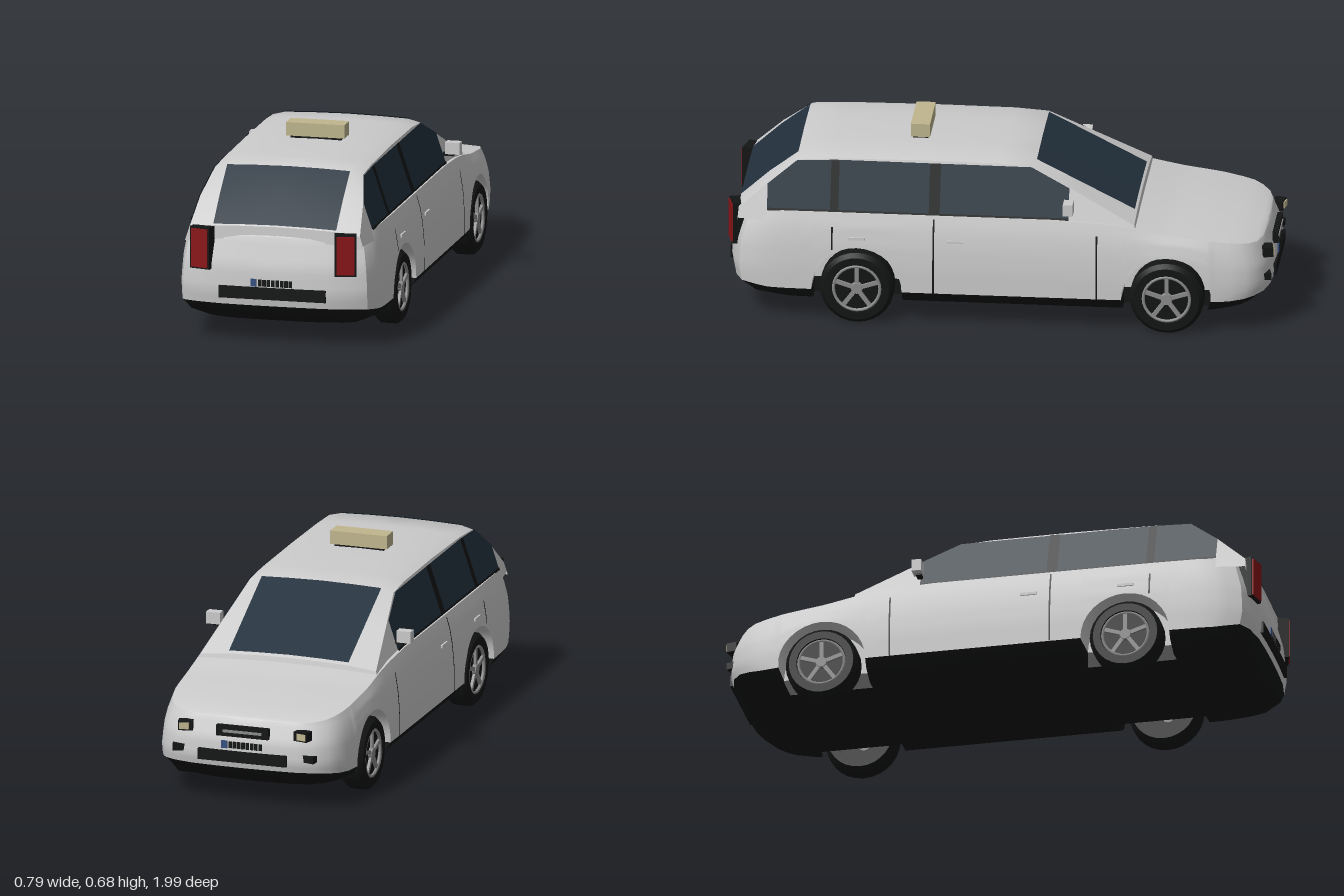
import * as THREE from 'three';
import { mergeGeometries, mergeVertices, toCreasedNormals } from 'three/addons/utils/BufferGeometryUtils.js';

const material = (color) => new THREE.MeshStandardMaterial({ color, side: THREE.DoubleSide });
const paint = material(0xcccccc), black = material(0x131414), glass = material(0x22303c);
const red = material(0x8a1519), cream = material(0xc0b78f), metal = material(0x8c8c8c), blue = material(0x35507f);

// Linear lookup in a list of [key, value] pairs
function lookup(table, k) {
  if (k <= table[0][0]) return table[0][1];
  for (let i = 1; i < table.length; i++) {
    const [a, va] = table[i - 1], [b, vb] = table[i];
    if (k <= b) return va + (vb - va) * (k - a) / (b - a);
  }
  return table[table.length - 1][1];
}

// Surface through columns of points on the +x side, mirrored to -x
function mirroredSurface(columns) {
  const half = (s) => {
    const n = columns[0].length, pos = [], index = [];
    columns.forEach((c) => c.forEach(([x, y, z]) => pos.push(s * x, y, z)));
    for (let i = 0; i < columns.length - 1; i++) {
      for (let j = 0; j < n - 1; j++) {
        const a = i * n + j, b = a + n;
        if (s > 0) index.push(a, a + 1, b, b, a + 1, b + 1);
        else index.push(a, b, a + 1, b, b + 1, a + 1);
      }
    }
    const g = new THREE.BufferGeometry();
    g.setAttribute('position', new THREE.Float32BufferAttribute(pos, 3));
    g.setIndex(index);
    return g;
  };
  return toCreasedNormals(mergeVertices(mergeGeometries([half(1), half(-1)]), 1e-5), 0.6);
}

// Lower body rules
const ARCH_R = 0.165, ARCH_Y = 0.13, AXLES = [-0.61, 0.52], WELL_X = 0.25;
const topY = [[-1, 0.32], [-0.9, 0.34], [-0.6, 0.375], [-0.47, 0.4], [-0.3, 0.42], [0.88, 0.42], [1, 0.395]];
const sideScale = [[0.07, 0.8], [0.1, 0.95], [0.13, 1], [0.22, 1], [0.3, 0.985], [0.37, 0.955], [0.42, 0.915]];
const endInset = [[0.07, 0.11], [0.1, 0.06], [0.14, 0.01], [0.2, 0], [0.3, 0.005], [0.42, 0.035]];
const planX = [[-0.85, 0.355], [-0.77, 0.368], [-0.6, 0.377], [-0.4, 0.38], [0.6, 0.38], [0.8, 0.375]];
const bodyPoint = (px, pz, y, key = y) => [
  px * lookup(sideScale, key), y,
  pz - Math.sign(pz) * lookup(endInset, key) * THREE.MathUtils.smoothstep(Math.abs(pz), 0.7, 0.95),
];

// Plan outline from nose to tail, with extra columns over the wheel arches
function planColumns() {
  const cols = [[0, -0.99], [0.1, -0.988], [0.2, -0.982], [0.27, -0.965], [0.315, -0.935], [0.34, -0.9]]
    .map(([x, z]) => ({ x, z }));
  const add = (z, arch) => cols.push({ x: lookup(planX, z), z, arch });
  add(-0.85); add(-0.8);
  AXLES.forEach((c, k) => {
    add(c - ARCH_R);
    for (let i = 0; i <= 16; i++) add(c - ARCH_R * Math.cos(i * Math.PI / 16), c);
    add(c + ARCH_R);
    (k ? [0.74, 0.8] : [-0.36, -0.2, 0, 0.2]).forEach((z) => add(z));
  });
  [[0.37, 0.86], [0.362, 0.9], [0.345, 0.95], [0.29, 0.975], [0.2, 0.99], [0.1, 0.994], [0, 0.995]]
    .forEach(([x, z]) => cols.push({ x, z }));
  cols.forEach((c) => {
    c.base = c.arch === undefined ? ARCH_Y + 0.015 * THREE.MathUtils.smoothstep(Math.abs(c.z), 0.85, 0.98)
      : ARCH_Y + Math.sqrt(Math.max(0, ARCH_R ** 2 - (c.z - c.arch) ** 2));
  });
  return cols;
}

// Cabin rules
const roofY = [[-0.5, 0.38], [-0.49, 0.42], [-0.12, 0.608], [0, 0.617], [0.3, 0.619], [0.6, 0.615],
  [0.74, 0.607], [0.85, 0.523], [0.955, 0.428], [0.958, 0.38]];
const wallX = (y) => 0.275 + (0.6 - y) / 3;
function cabinColumn(z) {
  const r = lookup(roofY, z), k = z > 0.9 ? 0.95 : 1;
  return [[k * wallX(0.38), 0.38, z], [k * wallX(r - 0.012), r - 0.012, z], [0.23, r, z],
    [0.12, r + 0.004, z], [0, r + 0.006, z]];
}

export function createModel() {
  const car = new THREE.Group();
  car.name = 'car';
  const add = (name, geo, mat, x = 0, y = 0, z = 0, parent = car) => {
    const m = new THREE.Mesh(geo, mat);
    m.name = name;
    m.position.set(x, y, z);
    parent.add(m);
    return m;
  };
  const box = (name, w, h, d, mat, x, y, z, parent) => add(name, new THREE.BoxGeometry(w, h, d), mat, x, y, z, parent);

  // Body shell: sides, nose, tail, then the hood and deck closing the top
  const cols = planColumns();
  const side = cols.map(({ x, z, base }) => Array.from({ length: 11 }, (_, i) => {
    const t = i / 10;
    return bodyPoint(x, z, THREE.MathUtils.lerp(base, lookup(topY, z), t), THREE.MathUtils.lerp(base, 0.42, t));
  }));
  add('bodyShell', mirroredSurface(side.map((c) => {
    const [ex, ey, ez] = c[10];
    const deck = [0.85, 0.65, 0.4, 0.2, 0].map((f) => [ex * f, ey + 0.012 * (1 - f * f) * ex / 0.35, ez]);
    return [...c, ...deck];
  })), paint);

  // Black sills, bumper undersides and floor
  add('underbody', mirroredSurface(cols.map(({ x, z, base, arch }) => {
    const p = [0.07, 0.1, base].map((y) => (arch === undefined ? bodyPoint(x, z, y) : [WELL_X, Math.min(y, 0.13), z]));
    return [[0, 0.07, p[0][2]], ...p];
  })), black);

  // Wheel wells
  AXLES.forEach((c) => add('wheelWell', mirroredSurface(cols.filter((k) => k.arch === c).map(({ x, z, base }) => [
    [WELL_X, 0.13, z], [WELL_X, base, z], bodyPoint(x, z, base)])), paint));

  // Cabin
  add('cabin', mirroredSurface([-0.5, -0.49, -0.3, -0.12, 0, 0.3, 0.6, 0.74, 0.85, 0.955, 0.958].map(cabinColumn)), paint);
  const pane = (name, zs) => add(name, mirroredSurface(zs.map((z) =>
    cabinColumn(z).slice(2).map(([x, y]) => [x, y + 0.005, z]))), glass);
  pane('windshield', [-0.482, -0.3, -0.125]);
  pane('rearWindow', [0.745, 0.85, 0.954]);

  // Side glass, pillars and belt trim lie on the sloping cabin wall
  const onWall = (name, pts, mat, lift) => [1, -1].forEach((s) => {
    const g = new THREE.ShapeGeometry(new THREE.Shape(pts.map(([z, y]) => new THREE.Vector2(z, y))));
    const p = g.attributes.position;
    for (let i = 0; i < p.count; i++) {
      const z = p.getX(i), y = p.getY(i);
      p.setXYZ(i, s * (wallX(y) + lift), y, z);
    }
    g.computeVertexNormals();
    add(name, g, mat);
  });
  const rect = (a, b, c, d) => [[a, c], [b, c], [b, d], [a, d]];
  onWall('sideWindow', [[0.85, 0.42], [0.85, 0.51], [0.745, 0.594], [0.6, 0.6], [-0.11, 0.598], [-0.25, 0.53], [-0.25, 0.42]], glass, 0.004);
  onWall('rearPillar', rect(0.59, 0.62, 0.42, 0.598), black, 0.006);
  onWall('centrePillar', rect(0.22, 0.26, 0.42, 0.6), black, 0.006);
  onWall('beltTrim', rect(-0.25, 0.85, 0.418, 0.427), black, 0.007);

  // Door seams and handles
  [[0.61, 0.285, 0.37], [0.24, 0.13, 0.41], [-0.355, 0.13, 0.37]].forEach(([z, y0, y1]) => {
    add('doorSeam', mirroredSurface([-0.003, 0.003].map((d) => Array.from({ length: 7 }, (_, i) => {
      const y = y0 + (y1 - y0) * i / 6;
      return [0.38 * lookup(sideScale, y) + 0.002, y, z + d];
    }))), black);
  });

  // Wheels
  const tyre = new THREE.LatheGeometry([[0.09, -0.045], [0.12, -0.045], [0.135, -0.028], [0.135, 0.028],
    [0.12, 0.045], [0.092, 0.045], [0.088, 0.03], [0, 0.03]].map(([r, h]) => new THREE.Vector2(r, h)), 28);
  const tyreGeo = toCreasedNormals(tyre, 0.5).rotateZ(-Math.PI / 2);
  const ringGeo = new THREE.TorusGeometry(0.085, 0.006, 6, 28).rotateY(Math.PI / 2);
  const hubGeo = new THREE.CylinderGeometry(0.02, 0.024, 0.016, 12).rotateZ(-Math.PI / 2);
  const spokeGeo = new THREE.BoxGeometry(0.01, 0.075, 0.015).translate(0, 0.047, 0);
  AXLES.forEach((z) => [1, -1].forEach((s) => {
    const wheel = new THREE.Group();
    wheel.name = z < 0 ? 'frontWheel' : 'rearWheel';
    wheel.position.set(s * 0.329, 0.135, z);
    if (s < 0) wheel.rotation.y = Math.PI;
    add('tyre', tyreGeo, black, 0, 0, 0, wheel);
    add('rimRing', ringGeo, metal, 0.038, 0, 0, wheel);
    add('hub', hubGeo, metal, 0.036, 0, 0, wheel);
    for (let i = 0; i < 5; i++) add('spoke', spokeGeo, metal, 0.036, 0, 0, wheel).rotation.x = i * Math.PI * 2 / 5;
    car.add(wheel);
  }));

  // Paired details
  [1, -1].forEach((s) => {
    [0.52, 0.16].forEach((z) => box('doorHandle', 0.008, 0.01, 0.06, paint, s * 0.371, 0.33, z));
    box('mirror', 0.054, 0.044, 0.036, paint, s * 0.367, 0.478, -0.252);
    box('mirrorStem', 0.04, 0.012, 0.02, black, s * 0.35, 0.454, -0.25);
    const tail = new THREE.Group();
    tail.name = 'tailLight';
    tail.position.set(s * 0.265, 0.348, 0.952);
    tail.rotation.y = s * 0.25;
    box('housing', 0.08, 0.155, 0.07, black, 0, 0, 0, tail);
    box('lens', 0.066, 0.143, 0.008, red, 0, 0, 0.036, tail);
    car.add(tail);
    const head = new THREE.Group();
    head.name = 'headlight';
    head.position.set(s * 0.225, 0.285, -0.965);
    head.rotation.y = s * 0.2;
    box('housing', 0.055, 0.035, 0.04, black, 0, 0, 0, head);
    box('lens', 0.036, 0.024, 0.006, cream, s * 0.005, 0, -0.021, head);
    car.add(head);
    box('fogRecess', 0.05, 0.026, 0.03, black, s * 0.25, 0.2, -0.963).rotation.y = s * 0.25;
  });

  // Nose and tail details
  box('upperGrille', 0.2, 0.04, 0.02, black, 0, 0.283, -0.981);
  box('grilleBar', 0.15, 0.01, 0.006, metal, 0, 0.283, -0.991);
  box('lowerGrille', 0.34, 0.042, 0.02, black, 0, 0.188, -0.983);
  box('rearBumperStrip', 0.4, 0.045, 0.02, black, 0, 0.193, 0.987);
  [1, -1].forEach((s) => {
    const z = s > 0 ? 0.996 : -0.99;
    box('plateEnd', 0.022, 0.028, 0.006, blue, s * -0.069, 0.232, z);
    for (let i = 0; i < 8; i++) box('plateBar', 0.012, 0.024, 0.006, black, s * (-0.046 + i * 0.0165), 0.232, z);
  });

  // Roof sign
  box('signBase', 0.19, 0.012, 0.055, black, 0, 0.627, 0.312);
  box('roofSign', 0.218, 0.05, 0.07, cream, 0, 0.657, 0.312);
  return car;
}
